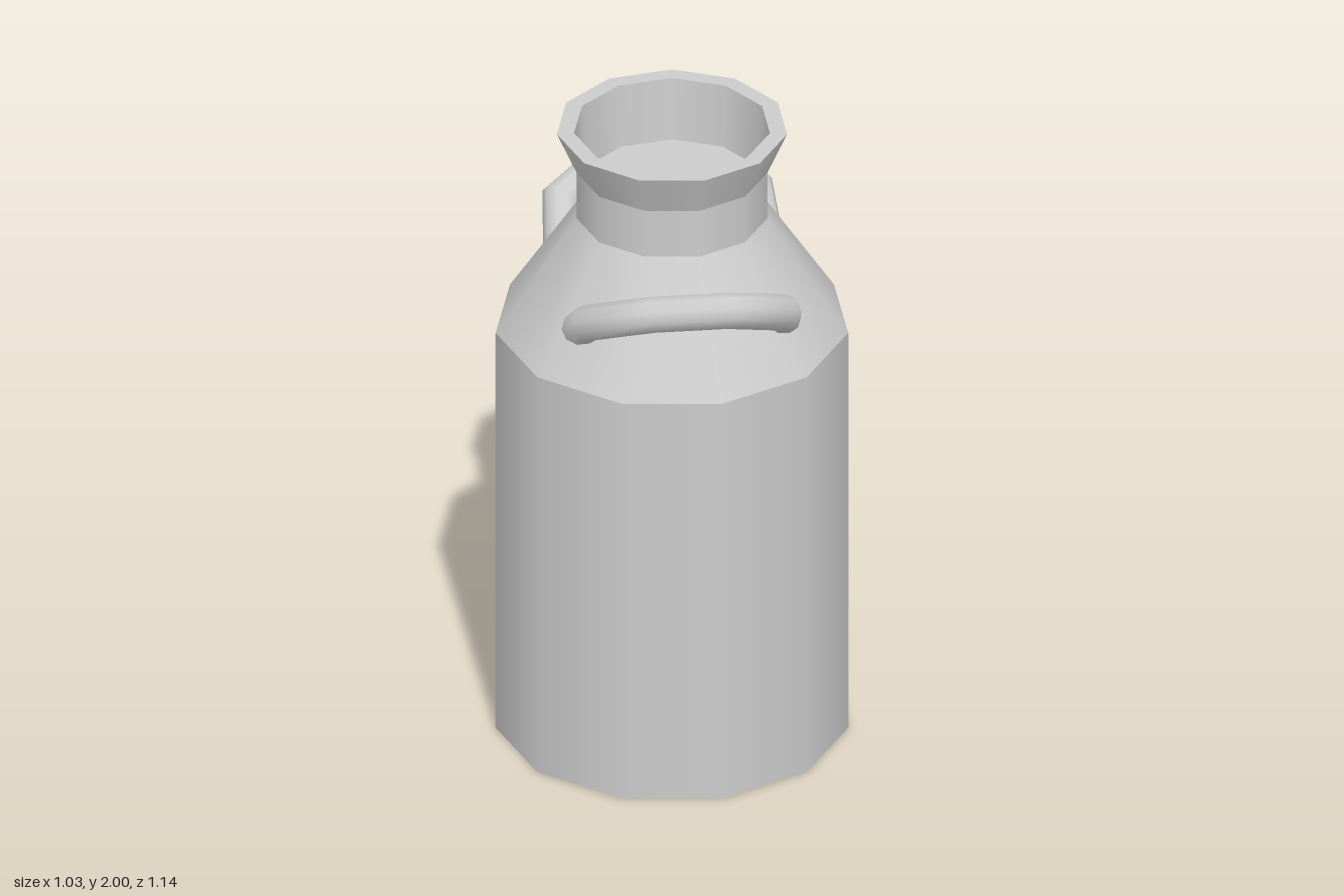
import * as THREE from 'three';

const SIDES = 11;
const material = new THREE.MeshStandardMaterial({ color: 0xcccccc, side: THREE.DoubleSide });

// One band of the can: smooth around, sharp against its neighbours
function band(name, r0, y0, r1, y1) {
  const points = [new THREE.Vector2(r0, y0), new THREE.Vector2(r1, y1)];
  const mesh = new THREE.Mesh(new THREE.LatheGeometry(points, SIDES, Math.PI / 2), material);
  mesh.name = name;
  return mesh;
}

// Round bar swept with mitred corners along a bent path in a tilted plane
function handleGeometry() {
  const tilt = 0.604, radius = 0.055, around = 10;
  const half = [[0.307, -0.06], [0.289, 0.154], [0.113, 0.299]];
  const path = [...half.map(([t, s]) => [-t, s]), ...half.slice().reverse()]
    .map(([t, s]) => new THREE.Vector2(t, s));
  const along = new THREE.Vector3(1, 0, 0);
  const outward = new THREE.Vector3(0, Math.sin(tilt), Math.cos(tilt));
  const normal = new THREE.Vector3(0, Math.cos(tilt), -Math.sin(tilt));
  const position = [], index = [];

  path.forEach((p, i) => {
    const before = p.clone().sub(path[Math.max(i - 1, 0)]).normalize();
    const after = path[Math.min(i + 1, path.length - 1)].clone().sub(p).normalize();
    const tangent = before.clone().add(after).normalize();
    const cosine = tangent.dot(i ? before : after);
    for (let j = 0; j < around; j++) {
      const a = -j / around * Math.PI * 2;
      const across = radius * Math.cos(a) / cosine;
      const v = new THREE.Vector3(0, 1.475, 0.256)
        .addScaledVector(along, p.x - tangent.y * across)
        .addScaledVector(outward, p.y + tangent.x * across)
        .addScaledVector(normal, radius * Math.sin(a));
      position.push(v.x, v.y, v.z);
      if (i < path.length - 1) {
        const k = i * around + j, n = i * around + (j + 1) % around;
        index.push(k, n, k + around, n, n + around, k + around);
      }
    }
  });

  const geometry = new THREE.BufferGeometry();
  geometry.setAttribute('position', new THREE.Float32BufferAttribute(position, 3));
  geometry.setIndex(index);
  geometry.computeVertexNormals();
  return geometry;
}

export function createModel() {
  const model = new THREE.Group();
  model.name = 'milkCan';

  // Can, from the base up and down into the mouth
  const can = new THREE.Group();
  can.name = 'can';
  can.add(
    band('base', 0, 0, 0.528, 0),
    band('body', 0.528, 0, 0.528, 1.34),
    band('shoulder', 0.528, 1.34, 0.286, 1.71),
    band('neck', 0.286, 1.71, 0.286, 1.865),
    band('collar', 0.286, 1.865, 0.345, 2),
    band('rim', 0.345, 2, 0.2935, 2),
    band('mouthWall', 0.2935, 2, 0.278, 1.8),
    band('mouthFloor', 0.278, 1.8, 0, 1.8),
  );
  model.add(can);

  // Two opposite carrying handles
  const geometry = handleGeometry();
  ['frontHandle', 'backHandle'].forEach((name, i) => {
    const handle = new THREE.Mesh(geometry, material);
    handle.name = name;
    handle.rotation.y = 0.251 + i * Math.PI;
    model.add(handle);
  });

  // Odd-sided outline is centred on its extents
  model.children.forEach((part) => { part.position.x = -0.011; });
  return model;
}
